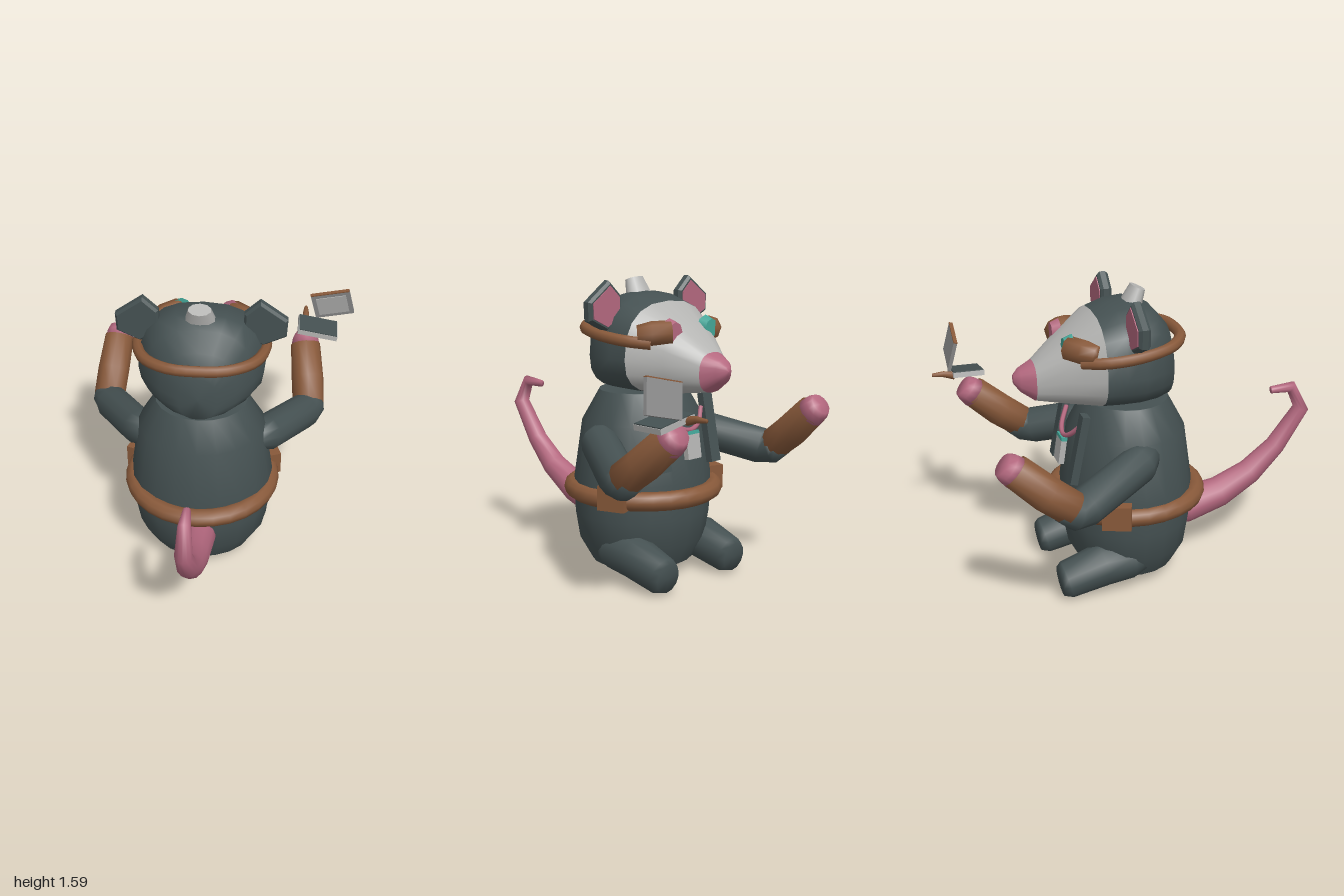
import * as THREE from 'three';

const mat = (name, color, side = THREE.FrontSide) => {
  const m = new THREE.MeshStandardMaterial({ color, side });
  m.name = name;
  return m;
};
const V = (x, y, z) => new THREE.Vector3(x, y, z);

// Skin a list of rings (counter-clockwise about the travel direction)
function loft(rings) {
  const n = rings[0].length, pos = [], idx = [];
  rings.forEach(r => r.forEach(p => pos.push(p.x, p.y, p.z)));
  for (let i = 0; i < rings.length - 1; i++) {
    for (let j = 0; j < n; j++) {
      const a = i * n + j, b = i * n + (j + 1) % n;
      idx.push(a, b, a + n, b, b + n, a + n);
    }
  }
  const g = new THREE.BufferGeometry();
  g.setAttribute('position', new THREE.Float32BufferAttribute(pos, 3));
  g.setIndex(idx);
  g.computeVertexNormals();
  return g;
}

// Tapered round limb through stations [x, y, z, radius], closed at both ends
function limb(stations, sides = 12) {
  const pts = stations.map(s => V(s[0], s[1], s[2]));
  const last = pts.length - 1;
  const ring = (i, r) => {
    const d = pts[Math.min(i + 1, last)].clone().sub(pts[Math.max(i - 1, 0)]).normalize();
    const u = V(1, 0, 0).addScaledVector(d, -d.x).normalize();
    const v = d.clone().cross(u);
    return Array.from({ length: sides }, (_, j) => {
      const t = j / sides * Math.PI * 2;
      return pts[i].clone().addScaledVector(u, r * Math.cos(t)).addScaledVector(v, r * Math.sin(t));
    });
  };
  const rings = pts.map((_, i) => ring(i, stations[i][3]));
  return loft([ring(0, 0.0005), ...rings, ring(last, 0.0005)]);
}

// Head section rings: [z, centre y, half width, height above, depth below]
function headRings(list) {
  const pw = c => Math.sign(c) * Math.pow(Math.abs(c), 0.8);
  return loft(list.map(([z, y, w, up, down]) => Array.from({ length: 20 }, (_, j) => {
    const t = j / 20 * Math.PI * 2, s = pw(Math.sin(t));
    return V(w * pw(Math.cos(t)), y - s * (s > 0 ? down : up), z);
  })));
}

export function createModel() {
  const fur = mat('dark fur', 0x455152);
  const pink = mat('pink skin', 0xb4687f);
  const brown = mat('brown leather', 0x88593a);
  const pale = mat('pale grey', 0xb4b4b2);
  const grey = mat('mid grey', 0x8f8f8f);
  const teal = mat('teal', 0x43a698);

  const model = new THREE.Group();
  const rat = new THREE.Group();
  rat.name = 'creature';
  rat.position.x = -0.07;
  model.add(rat);
  const add = (name, geo, material, parent = rat) => {
    const m = new THREE.Mesh(geo, material);
    m.name = name;
    parent.add(m);
    return m;
  };

  // Body
  const profile = [[0, 0.08], [0.29, 0.08], [0.29, 0.081], [0.36, 0.2], [0.385, 0.35], [0.39, 0.55],
    [0.345, 0.85], [0.25, 1.01], [0.249, 1.012], [0, 1.012]].map(p => new THREE.Vector2(...p));
  const body = add('body', new THREE.LatheGeometry(profile, 20), fur);
  body.scale.z = 0.9;
  body.position.z = -0.07;

  // Head, muzzle and nose
  const brow = [-0.25, 1.2, 0.32, 0.285, 0.19];
  const snout = [-0.56, 1.14, 0.105, 0.105, 0.1];
  add('head', headRings([[0.175, 1.15, 0.001, 0.001, 0.001], [0.17, 1.15, 0.1, 0.13, 0.12],
    [0.13, 1.18, 0.2, 0.23, 0.16], [0.05, 1.2, 0.28, 0.3, 0.19], [-0.05, 1.2, 0.33, 0.33, 0.19],
    [-0.15, 1.2, 0.335, 0.32, 0.19], brow]), fur);
  add('muzzle', headRings([brow, [-0.41, 1.18, 0.21, 0.19, 0.16], snout]), pale);
  add('nose', headRings([snout, [-0.63, 1.15, 0.06, 0.06, 0.06], [-0.66, 1.155, 0.025, 0.025, 0.025],
    [-0.665, 1.155, 0.001, 0.001, 0.001]]), pink);

  // Small tuft on the crown
  const tuft = add('crownTuft', new THREE.CylinderGeometry(0.06, 0.085, 0.1, 10), pale);
  tuft.scale.z = 0.65;
  tuft.position.set(0, 1.54, -0.02);
  tuft.rotation.x = 0.4;

  // Headband running round the back between the goggles
  const half = [[0.24, -0.36], [0.31, -0.26], [0.335, -0.1], [0.28, 0.08], [0.15, 0.18]];
  const bandPts = [...half, [0, 0.2], ...half.map(([x, z]) => [-x, z]).reverse()]
    .map(([x, z]) => V(x, 1.35 - (0.2 - z) * 0.11, z));
  add('headband', new THREE.TubeGeometry(new THREE.CatmullRomCurve3(bandPts), 32, 0.03, 8), brown);

  // Belt
  const belt = add('belt', new THREE.TorusGeometry(0.38, 0.05, 10, 28), brown);
  belt.rotation.x = Math.PI / 2;
  belt.position.set(0, 0.475, -0.07);

  // Tail
  add('tail', limb([[0, 0.31, 0.2, 0.1], [0, 0.31, 0.28, 0.1], [0, 0.36, 0.48, 0.085], [0, 0.46, 0.66, 0.07],
    [0, 0.6, 0.81, 0.055], [0, 0.81, 0.955, 0.045], [0, 0.94, 0.89, 0.033], [0, 0.935, 0.77, 0.02]]), pink);

  // Mirrored parts
  for (const s of [-1, 1]) {
    const side = s > 0 ? 'left' : 'right';

    add(side + 'Leg', limb([[s * 0.25, 0.17, -0.05, 0.075], [s * 0.26, 0.175, -0.12, 0.105],
      [s * 0.26, 0.165, -0.27, 0.115], [s * 0.26, 0.105, -0.47, 0.1], [s * 0.26, 0.1, -0.505, 0.08]]), fur);

    add(side + 'UpperArm', limb([[s * 0.28, 0.78, -0.03, 0.07], [s * 0.35, 0.76, -0.1, 0.1],
      [s * 0.55, 0.665, -0.44, 0.1], [s * 0.58, 0.665, -0.5, 0.095], [s * 0.58, 0.7, -0.55, 0.085]]), fur);
    add(side + 'Cuff', limb([[s * 0.58, 0.68, -0.51, 0.09], [s * 0.57, 0.77, -0.63, 0.092],
      [s * 0.55, 0.905, -0.78, 0.085]]), brown);
    add(side + 'Hand', limb([[s * 0.55, 0.89, -0.77, 0.083], [s * 0.55, 0.925, -0.81, 0.075],
      [s * 0.55, 0.945, -0.835, 0.06]]), pink);

    // Ear with pink inner face
    const pts = [[0.3, 1.59], [0.225, 1.52], [0.22, 1.4], [0.32, 1.345], [0.435, 1.4], [0.44, 1.49]];
    const cx = 0.325, cy = 1.46;
    const earShape = k => new THREE.Shape(pts.map(([x, y]) =>
      new THREE.Vector2(s * (cx + (x - cx) * k), cy + (y - cy) * k)));
    add(side + 'Ear', new THREE.ExtrudeGeometry(earShape(0.93), { depth: 0.03, bevelThickness: 0.015,
      bevelSize: 0.012, bevelSegments: 1 }), fur).position.z = -0.115;
    add(side + 'InnerEar', new THREE.ExtrudeGeometry(earShape(0.85), { depth: 0.006, bevelEnabled: false }),
      pink).position.z = -0.135;

    // Goggle cup and lens
    add(side + 'GoggleCup', limb([[s * 0.27, 1.33, -0.29, 0.05], [s * 0.22, 1.335, -0.34, 0.065],
      [s * 0.14, 1.34, -0.4, 0.065]], 8), brown);
    const lens = add(side + 'Lens', new THREE.CylinderGeometry(0.068, 0.05, 0.045, 8), s > 0 ? pink : teal);
    lens.rotation.x = Math.PI / 2;
    lens.position.set(s * 0.138, 1.345, -0.408);

    // Belt pouch and vest strap
    const pouch = add(side + 'Pouch', new THREE.BoxGeometry(0.09, 0.13, 0.15), brown);
    pouch.position.set(s * 0.37, 0.495, -0.225);
    pouch.rotation.y = s * 0.35;
    const strap = add(side + 'Strap', new THREE.BoxGeometry(0.07, 0.37, 0.04), fur);
    strap.position.set(s * 0.19, 0.81, -0.375);
    strap.rotation.x = 0.2;
  }

  // Lanyard and badge on the chest
  const cord = new THREE.CatmullRomCurve3([V(-0.15, 0.92, -0.35), V(-0.08, 0.85, -0.395), V(0, 0.825, -0.41),
    V(0.08, 0.85, -0.395), V(0.15, 0.92, -0.35)]);
  add('lanyard', new THREE.TubeGeometry(cord, 14, 0.013, 6), pink);
  const badge = new THREE.Group();
  badge.name = 'badge';
  badge.position.set(0, 0.74, -0.425);
  badge.rotation.x = 0.15;
  rat.add(badge);
  add('badgePlate', new THREE.BoxGeometry(0.1, 0.13, 0.03), pale, badge);
  add('badgeTrim', new THREE.BoxGeometry(0.1, 0.018, 0.032), teal, badge).position.y = 0.072;

  // Small computer held in the left hand
  const base = new THREE.Group();
  base.name = 'computerBase';
  base.position.set(0.545, 1.005, -0.805);
  base.rotation.z = -0.18;
  model.add(base);
  add('baseSlab', new THREE.BoxGeometry(0.23, 0.028, 0.17), pale, base);
  add('keyboard', new THREE.BoxGeometry(0.222, 0.006, 0.164), fur, base).position.y = 0.016;

  const screen = new THREE.Group();
  screen.name = 'computerScreen';
  screen.position.set(0.625, 1.13, -0.872);
  screen.rotation.set(0.22, 0, 0.23);
  model.add(screen);
  add('screenFrame', new THREE.BoxGeometry(0.225, 0.17, 0.02), grey, screen);
  add('display', new THREE.BoxGeometry(0.175, 0.125, 0.006), pale, screen).position.z = 0.011;
  add('screenEdge', new THREE.BoxGeometry(0.225, 0.006, 0.021), brown, screen).position.y = 0.087;

  // Peg behind the hinge
  add('peg', limb([[0.545, 1.01, -0.88, 0.022], [0.545, 1.025, -0.94, 0.017], [0.545, 1.025, -1.0, 0.01]], 8), brown);

  return model;
}
